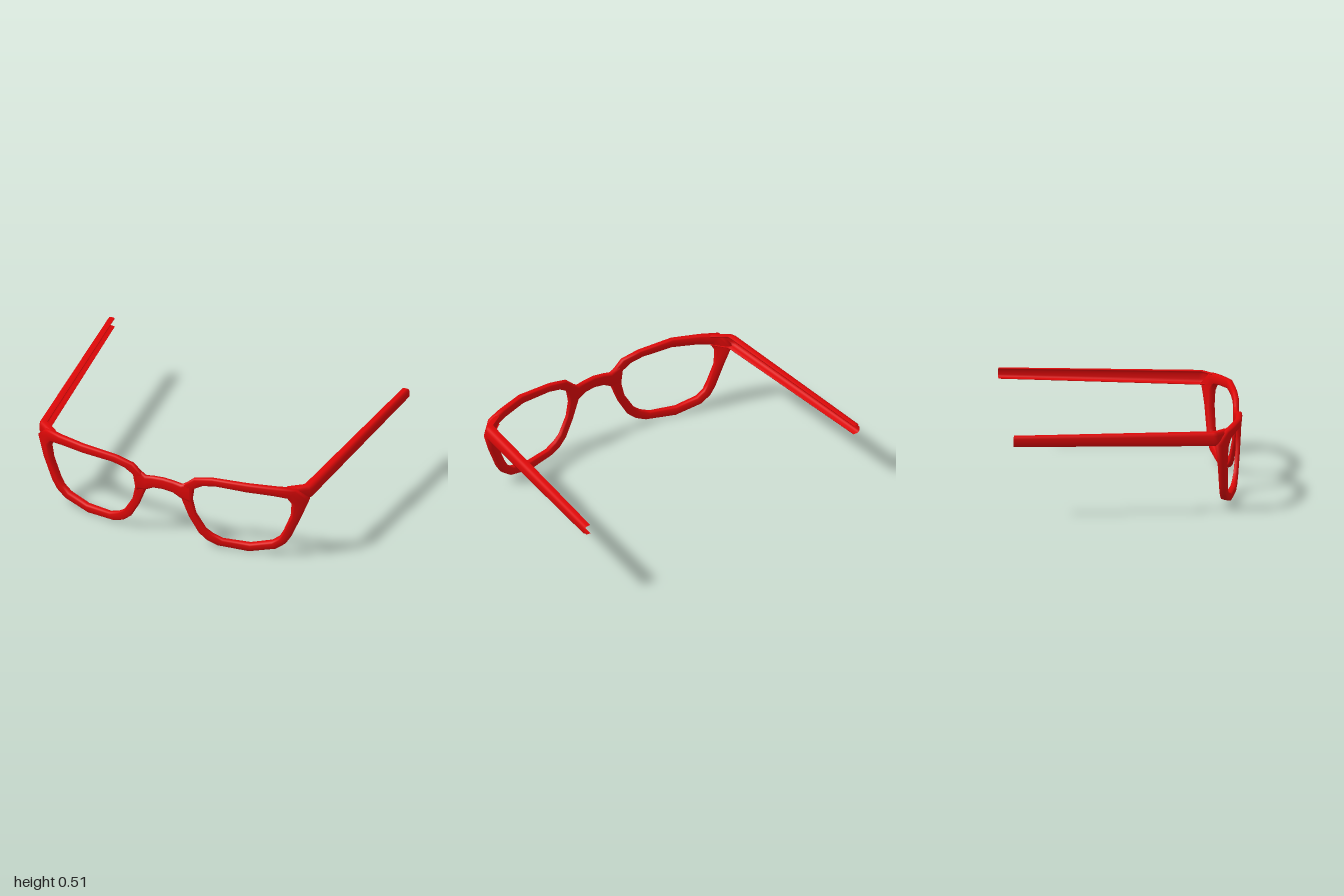
import * as THREE from 'three';

const V = (x, y, z) => new THREE.Vector3(x, y, z);

// Rounded solid section for rims and bridge
const soft = v => Math.sign(v) * Math.pow(Math.abs(v), 0.6);
const solid = Array.from({ length: 12 }, (_, j) => {
  const t = j / 12 * Math.PI * 2;
  return [soft(Math.cos(t)), soft(Math.sin(t))];
});
// Thin C section for the arms, open towards the head
const channel = [
  [1, -0.5], [1, 0.5], [0.65, 0.9], [0.1, 1], [-0.95, 1], [-1, 0.88],
  [0, 0.84], [0.5, 0.7], [0.75, 0.4], [0.75, -0.4], [0.5, -0.7], [0, -0.84],
  [-1, -0.88], [-0.95, -1], [0.1, -1], [0.65, -0.9],
];

// Linear lookup in a short list of [x, value] pairs
function lookup(list, x) {
  for (let i = 1; i < list.length; i++) {
    const [x0, v0] = list[i - 1], [x1, v1] = list[i];
    if (x <= x1 || i === list.length - 1) return v0 + (v1 - v0) * (x - x0) / (x1 - x0);
  }
}

// Wrap of the frame front: upper edge bows further forward than the lower edge
const topWrap = [[0, 0.695], [0.2, 0.692], [0.32, 0.685], [0.55, 0.669], [0.8, 0.594], [0.9, 0.52]];
const lowWrap = [[0, 0.69], [0.15, 0.676], [0.35, 0.645], [0.55, 0.602], [0.75, 0.554], [0.85, 0.522]];
function onFront(x, y) {
  const t = Math.min(1, y / 0.48), ax = Math.abs(x);
  return V(x, y, THREE.MathUtils.lerp(lookup(lowWrap, ax), lookup(topWrap, ax), t));
}

// Skin a section outline through stations { c: centre, a, b: half axes } in order
function loft(outline, stations, closed = false) {
  const pos = [], idx = [], n = stations.length, sides = outline.length;
  const travel = stations[1].c.clone().sub(stations[0].c);
  const flip = stations[0].a.clone().cross(stations[0].b).dot(travel) < 0;
  for (const { c, a, b } of stations) {
    for (const [u, v] of outline) {
      const p = c.clone().addScaledVector(a, u).addScaledVector(b, v);
      pos.push(p.x, p.y, p.z);
    }
  }
  for (let i = 0; i < (closed ? n : n - 1); i++) {
    for (let j = 0; j < sides; j++) {
      const k = (j + 1) % sides, m = (i + 1) % n;
      const A = i * sides + j, B = i * sides + k, C = m * sides + k, D = m * sides + j;
      if (flip) idx.push(A, C, B, A, D, C);
      else idx.push(A, B, C, A, C, D);
    }
  }
  const g = new THREE.BufferGeometry();
  g.setAttribute('position', new THREE.Float32BufferAttribute(pos, 3));
  g.setIndex(idx);
  g.computeVertexNormals();
  return g;
}

// Rim outline: inner x, y, outer x, y and half depth at each station
const rimStations = [
  [0.26, 0.44, 0.20, 0.48, 0.018], [0.34, 0.457, 0.32, 0.505, 0.019], [0.54, 0.459, 0.55, 0.515, 0.02],
  [0.70, 0.447, 0.72, 0.506, 0.022], [0.775, 0.435, 0.83, 0.498, 0.025], [0.80, 0.39, 0.895, 0.425, 0.026],
  [0.79, 0.29, 0.85, 0.30, 0.026], [0.74, 0.17, 0.79, 0.147, 0.025], [0.715, 0.125, 0.755, 0.09, 0.024],
  [0.67, 0.09, 0.695, 0.043, 0.024], [0.54, 0.055, 0.53, 0.001, 0.022], [0.375, 0.062, 0.34, 0.016, 0.019],
  [0.315, 0.088, 0.275, 0.043, 0.017], [0.27, 0.122, 0.225, 0.087, 0.015], [0.21, 0.225, 0.165, 0.195, 0.014],
  [0.19, 0.32, 0.12, 0.31, 0.015], [0.203, 0.405, 0.13, 0.415, 0.016],
];

function rimGeometry(side) {
  const s = rimStations.map(([ix, iy, ox, oy, depth]) => {
    const inner = onFront(ix * side, iy), outer = onFront(ox * side, oy);
    return { c: inner.clone().add(outer).multiplyScalar(0.5), a: outer.clone().sub(inner).multiplyScalar(0.5), depth };
  });
  s.forEach((q, i) => {
    const t = s[(i + 1) % s.length].c.clone().sub(s[(i + s.length - 1) % s.length].c);
    q.b = t.cross(q.a).normalize().multiplyScalar(q.depth);
  });
  return loft(solid, s, true);
}

// Bridge stations: x, bottom, top
function bridgeGeometry() {
  const half = [[0, 0.355, 0.43], [0.065, 0.347, 0.424], [0.12, 0.316, 0.415], [0.175, 0.3, 0.45]];
  const all = [...half.slice(1).reverse().map(([x, l, h]) => [-x, l, h]), ...half];
  return loft(solid, all.map(([x, low, high]) => ({
    c: onFront(x, (low + high) / 2),
    a: V(0, (high - low) / 2, 0),
    b: V(0, 0, 0.018),
  })));
}

// Temple arm with its hinge corner: outer x, z, inner x, z, bottom, top
const armStations = [
  [0.785, 0.614, 0.765, 0.572, 0.437, 0.5],
  [0.896, 0.528, 0.85, 0.512, 0.417, 0.503],
  [0.908, 0.50, 0.855, 0.497, 0.417, 0.503],
  [1.0, -0.715, 0.956, -0.712, 0.445, 0.51],
];

function armGeometry(side) {
  return loft(channel, armStations.map(([ox, oz, ix, iz, low, high]) => ({
    c: V(side * (ox + ix) / 2, (low + high) / 2, (oz + iz) / 2),
    a: V(side * (ox - ix) / 2, 0, (oz - iz) / 2),
    b: V(0, (high - low) / 2, 0),
  })));
}

export function createModel() {
  const red = new THREE.MeshStandardMaterial({ color: 0xdc0808 });
  red.name = 'red';
  const model = new THREE.Group();
  model.name = 'eyeglasses';
  const add = (name, geometry) => {
    const mesh = new THREE.Mesh(geometry, red);
    mesh.name = name;
    model.add(mesh);
  };
  for (const [side, label] of [[1, 'left'], [-1, 'right']]) {
    add(label + 'Rim', rimGeometry(side));
    add(label + 'Arm', armGeometry(side));
  }
  add('bridge', bridgeGeometry());
  return model;
}
